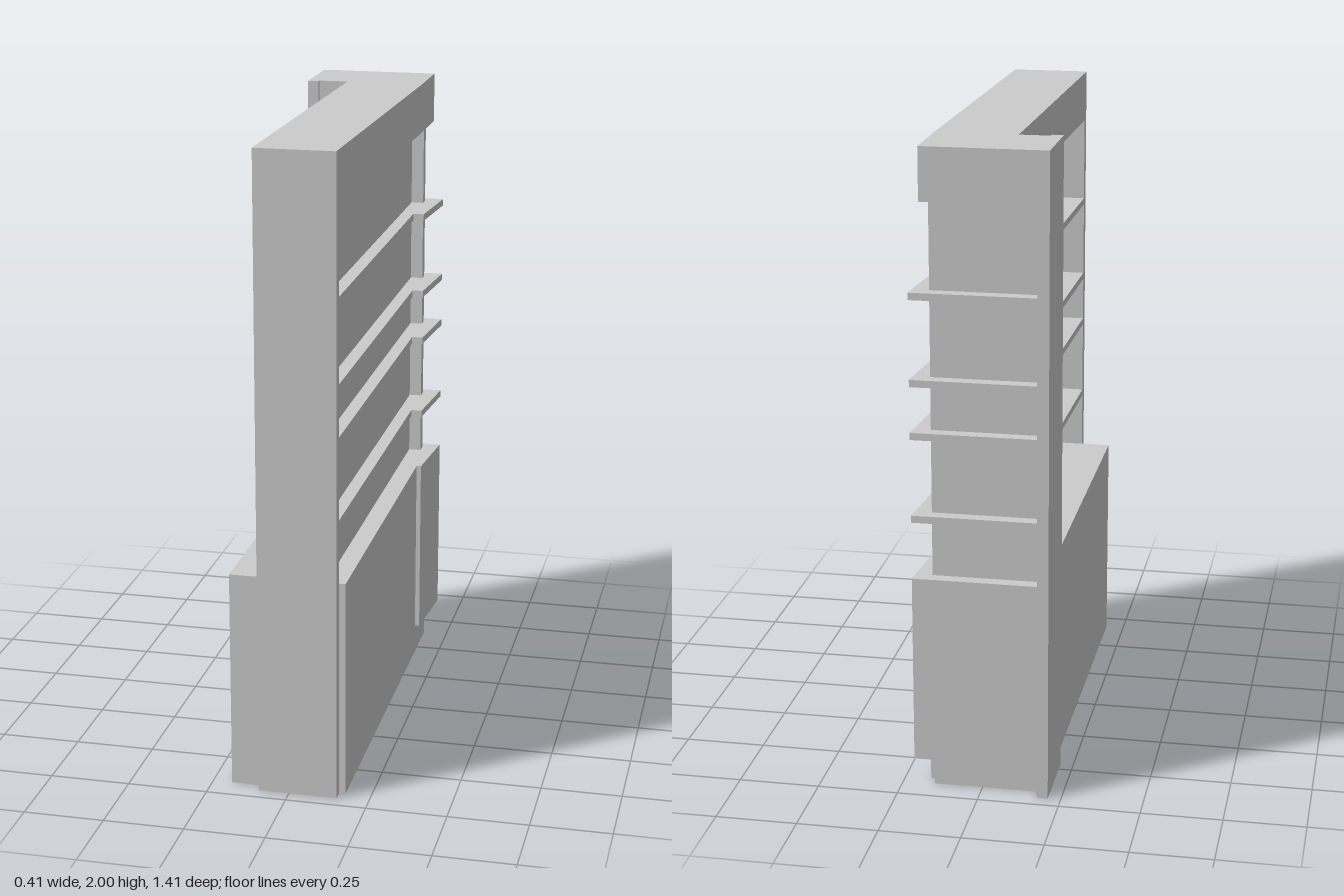
import * as THREE from 'three';

const material = new THREE.MeshStandardMaterial({ color: 0xcccccc });

// Upright prism from a plan outline of [x, z] corners
function prism(name, plan, y0, y1) {
  const shape = new THREE.Shape(plan.map(([x, z]) => new THREE.Vector2(x, -z)));
  const geometry = new THREE.ExtrudeGeometry(shape, { depth: y1 - y0, bevelEnabled: false });
  geometry.rotateX(-Math.PI / 2);
  geometry.translate(0, y0, 0);
  const mesh = new THREE.Mesh(geometry, material);
  mesh.name = name;
  return mesh;
}

// Box given by its limits
function block(name, x0, x1, y0, y1, z0, z1) {
  const mesh = new THREE.Mesh(new THREE.BoxGeometry(x1 - x0, y1 - y0, z1 - z0), material);
  mesh.position.set((x0 + x1) / 2, (y0 + y1) / 2, (z0 + z1) / 2);
  mesh.name = name;
  return mesh;
}

export function createModel() {
  const model = new THREE.Group();
  model.name = 'shelfUnit';

  const baseTop = 0.69, headerBottom = 1.84, top = 2;
  const back = -0.705, front = 0.705, postBack = 0.67;

  // Uprights at the two ends
  model.add(block('frontPost', -0.095, 0.15, 0, top, postBack, front));
  model.add(block('cornerPost', -0.21, -0.175, 0, top, back, -0.465));

  // Thin dividing wall and the panel closing the back wing
  model.add(block('dividingWall', 0.1, 0.11, baseTop, headerBottom, -0.63, postBack));
  model.add(block('backPanel', -0.175, 0.15, 0, headerBottom, -0.665, -0.63));

  // Base cabinet, with a raised cabinet wrapped around the back corner
  model.add(prism('baseCabinet', [
    [0.17, postBack], [0.17, -0.63], [-0.175, -0.63], [-0.175, -0.465],
    [-0.19, -0.465], [-0.19, postBack],
  ], 0, baseTop));
  model.add(prism('cornerCabinet', [
    [0.185, -0.455], [0.205, back], [-0.175, back], [-0.175, -0.455],
  ], 0.1, baseTop));

  // L-shaped header, slightly tapered towards the front
  model.add(prism('header', [
    [0.15, postBack], [0.17, -0.465], [0.17, back], [-0.175, back],
    [-0.175, -0.48], [-0.08, -0.48], [-0.095, postBack],
  ], headerBottom, top));

  // L-shaped shelves running through the wall and around the corner
  const shelfPlan = [
    [0.15, postBack], [0.15, -0.455], [0.185, -0.455], [0.205, back],
    [-0.175, back], [-0.175, -0.48], [-0.08, -0.48], [-0.095, postBack],
  ];
  for (const y of [0.868, 1.126, 1.288, 1.55]) {
    model.add(prism('shelf', shelfPlan, y, y + 0.022));
  }

  return model;
}
